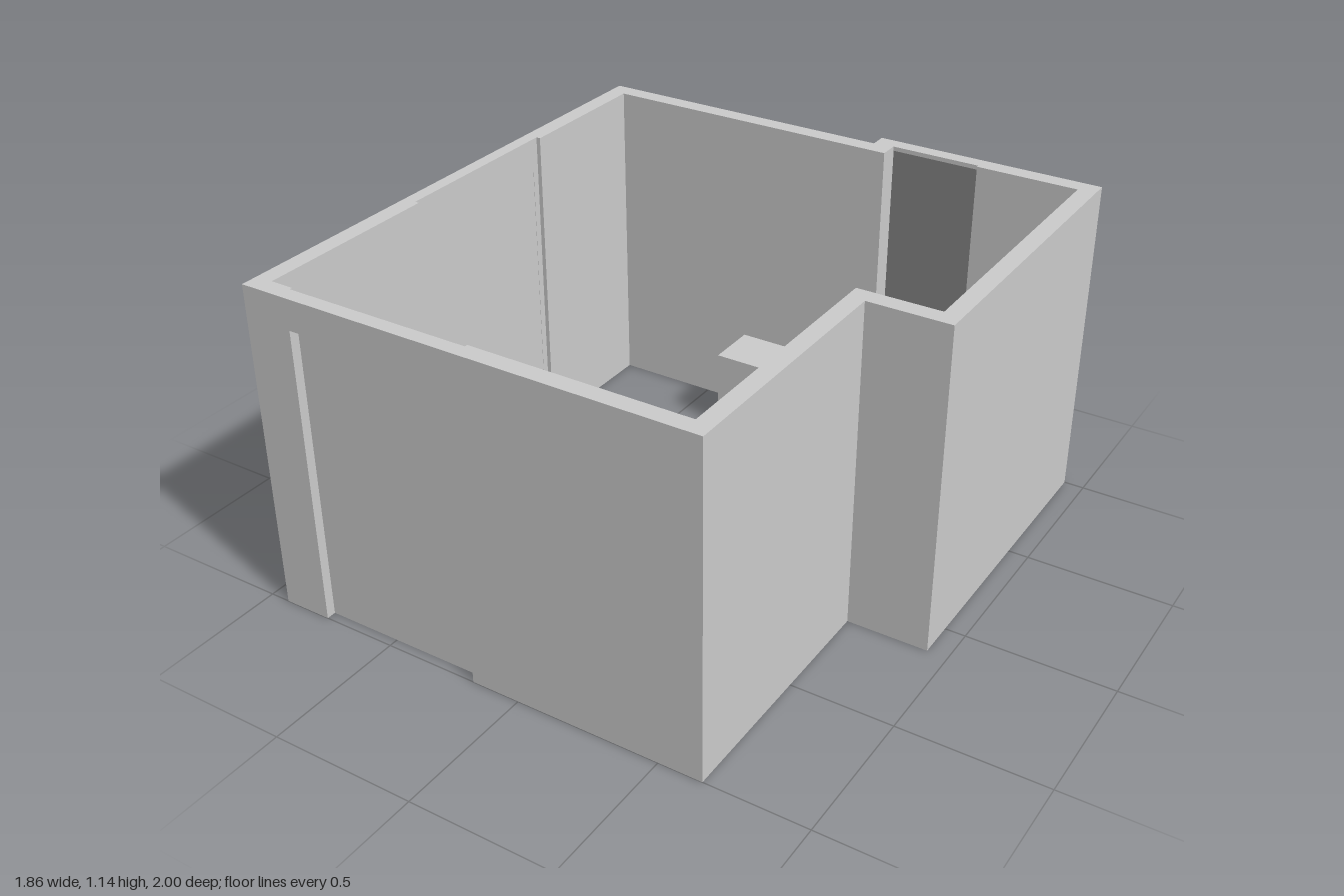
import * as THREE from 'three';

const H = 1.145; // wall height
const DOOR = 1.04; // door height

export function createModel() {
  const room = new THREE.Group();
  room.name = 'room';
  const grey = new THREE.MeshStandardMaterial({ color: 0xcccccc });
  const dark = new THREE.MeshStandardMaterial({ color: 0x858585 });

  function add(name, geometry, material = grey) {
    const mesh = new THREE.Mesh(geometry, material);
    mesh.name = name;
    room.add(mesh);
    return mesh;
  }

  // Box given by its extents on each axis
  function box(name, [x0, x1], [y0, y1], [z0, z1], material) {
    const mesh = add(name, new THREE.BoxGeometry(x1 - x0, y1 - y0, z1 - z0), material);
    mesh.position.set((x0 + x1) / 2, (y0 + y1) / 2, (z0 + z1) / 2);
  }

  // Full-height wall extruded from a floor plan of [x, z] corners
  function wall(name, plan) {
    const shape = new THREE.Shape(plan.map(([x, z]) => new THREE.Vector2(x, -z)));
    const geometry = new THREE.ExtrudeGeometry(shape, { depth: H, bevelEnabled: false });
    geometry.rotateX(-Math.PI / 2);
    add(name, geometry);
  }

  // Wall runs between the three openings, with shallow inner rebates beside the doors
  wall('frontCornerWall', [
    [-0.93, 0.26], [-0.885, 0.26], [-0.885, 0.28], [-0.87, 0.28], [-0.87, 0.94],
    [-0.79, 0.94], [-0.79, 0.95], [-0.76, 0.95], [-0.76, 1], [-0.93, 1],
  ]);
  wall('backCornerWall', [
    [-0.93, -0.34], [-0.93, -0.94], [0.13, -0.94], [0.13, -1], [0.2, -1],
    [0.2, -0.88], [-0.87, -0.88], [-0.87, -0.365], [-0.885, -0.365], [-0.885, -0.34],
  ]);
  wall('bayWall', [
    [0.515, -1], [0.93, -1], [0.93, 0.13], [0.65, 0.13], [0.65, 1], [-0.17, 1],
    [-0.17, 0.95], [-0.145, 0.95], [-0.145, 0.94], [0.59, 0.94], [0.59, 0.07],
    [0.87, 0.07], [0.87, -0.94], [0.515, -0.94],
  ]);

  // Lintels over the openings
  box('frontLintel', [-0.76, -0.17], [DOOR, H], [0.95, 1]);
  box('sideLintel', [-0.93, -0.885], [DOOR, H], [-0.34, 0.26]);
  box('backLintel', [0.2, 0.515], [1.13, H], [-1, -0.95]);

  // Recessed door panels and the tall back panel on its sill
  box('frontDoor', [-0.76, -0.17], [0, DOOR], [0.951, 0.967]);
  box('sideDoor', [-0.908, -0.886], [0, DOOR], [-0.34, 0.26]);
  box('backPanel', [0.2, 0.515], [0.01, 1.13], [-0.965, -0.953], dark);
  box('backSill', [0.2, 0.515], [0, 0.01], [-0.99, -0.95]);

  // Furniture
  box('counter', [0.592, 0.866], [0, 0.41], [-0.938, 0.068]);
  box('wallCabinet', [0.74, 0.866], [0.62, 0.91], [-0.938, -0.425]);
  box('tableTop', [-0.12, 0.155], [0.285, 0.325], [-0.57, -0.025]);
  box('sideTableTop', [-0.12, 0.155], [0.285, 0.325], [-0.83, -0.585]);
  box('smallCabinet', [-0.33, -0.14], [0.05, 0.3], [-0.865, -0.675]);

  return room;
}
